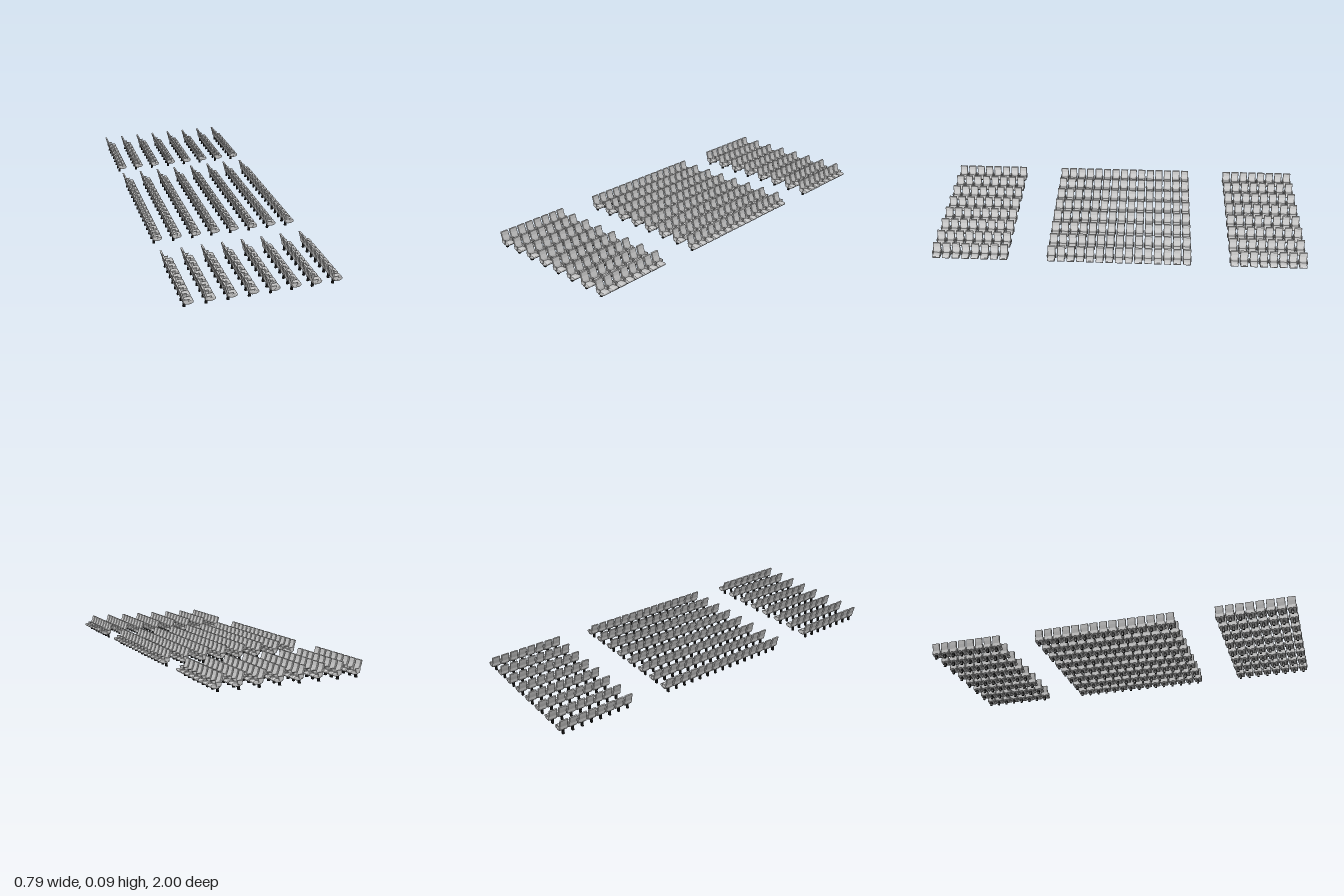
import * as THREE from 'three';
import { toCreasedNormals } from 'three/addons/utils/BufferGeometryUtils.js';

const grey = new THREE.MeshStandardMaterial({ color: 0xcccccc });
const black = new THREE.MeshStandardMaterial({ color: 0x161616 });

// Side profile in x/y extruded to a given width, centred on z, with softened edges
function slab(points, width, bevel, segments = 1, rounded = false) {
  let pts = points.map(([x, y]) => new THREE.Vector2(x, y));
  if (rounded) {
    const curve = new THREE.CatmullRomCurve3(pts.map(p => new THREE.Vector3(p.x, p.y, 0)), true);
    pts = curve.getPoints(16).slice(0, -1).map(p => new THREE.Vector2(p.x, p.y));
  }
  const geo = new THREE.ExtrudeGeometry(new THREE.Shape(pts), {
    depth: width - 2 * bevel, steps: 1, bevelEnabled: bevel > 0,
    bevelSize: bevel, bevelThickness: bevel, bevelOffset: -bevel, bevelSegments: segments,
  });
  geo.translate(0, 0, -(width - 2 * bevel) / 2);
  return rounded ? toCreasedNormals(geo, 0.8) : geo;
}

// Chair profiles, facing +x, back edge at x = 0
const backGeo = slab([[0.013, 0.028], [0.025, 0.028], [0.022, 0.045], [0.014, 0.066],
  [0.0095, 0.086], [0, 0.086], [0.005, 0.066], [0.011, 0.047]], 0.042, 0.001);
const cushionGeo = slab([[0.012, 0.03], [0.024, 0.02], [0.044, 0.019], [0.060, 0.025],
  [0.063, 0.033], [0.057, 0.038], [0.032, 0.036]], 0.039, 0.002, 2, true);
const armGeo = slab([[0.016, 0.028], [0.036, 0.028], [0.042, 0.049], [0.011, 0.047]], 0.005, 0.0008);
const legGeo = slab([[0.015, 0], [0.027, 0], [0.027, 0.012], [0.031, 0.024],
  [0.016, 0.024], [0.018, 0.012]], 0.011, 0);

function makeChair() {
  const chair = new THREE.Group();
  chair.name = 'chair';
  const add = (name, geo, mat, z = 0) => {
    const mesh = new THREE.Mesh(geo, mat);
    mesh.name = name;
    mesh.position.z = z;
    chair.add(mesh);
  };
  add('backrest', backGeo, grey);
  add('seatCushion', cushionGeo, grey);
  add('leg', legGeo, black);
  add('leftArmrest', armGeo, grey, -0.02125);
  add('rightArmrest', armGeo, grey, 0.02125);
  return chair;
}

export function createModel() {
  const model = new THREE.Group();
  model.name = 'auditoriumSeating';
  const rows = 8, rowPitch = 0.104, seatPitch = 0.0516;
  // Two side blocks and a wider centre block, separated by aisles
  const blocks = [
    { name: 'rearSideBlock', z: -0.796, seats: 8 },
    { name: 'centreBlock', z: -0.004, seats: 15 },
    { name: 'frontSideBlock', z: 0.793, seats: 8 },
  ];
  for (const { name, z, seats } of blocks) {
    const block = new THREE.Group();
    block.name = name;
    block.position.z = z;
    for (let r = 0; r < rows; r++) {
      const row = new THREE.Group();
      row.name = 'seatRow';
      row.position.x = -0.3955 + r * rowPitch;
      for (let s = 0; s < seats; s++) {
        const chair = makeChair();
        chair.position.z = (s - (seats - 1) / 2) * seatPitch;
        row.add(chair);
      }
      block.add(row);
    }
    model.add(block);
  }
  return model;
}
